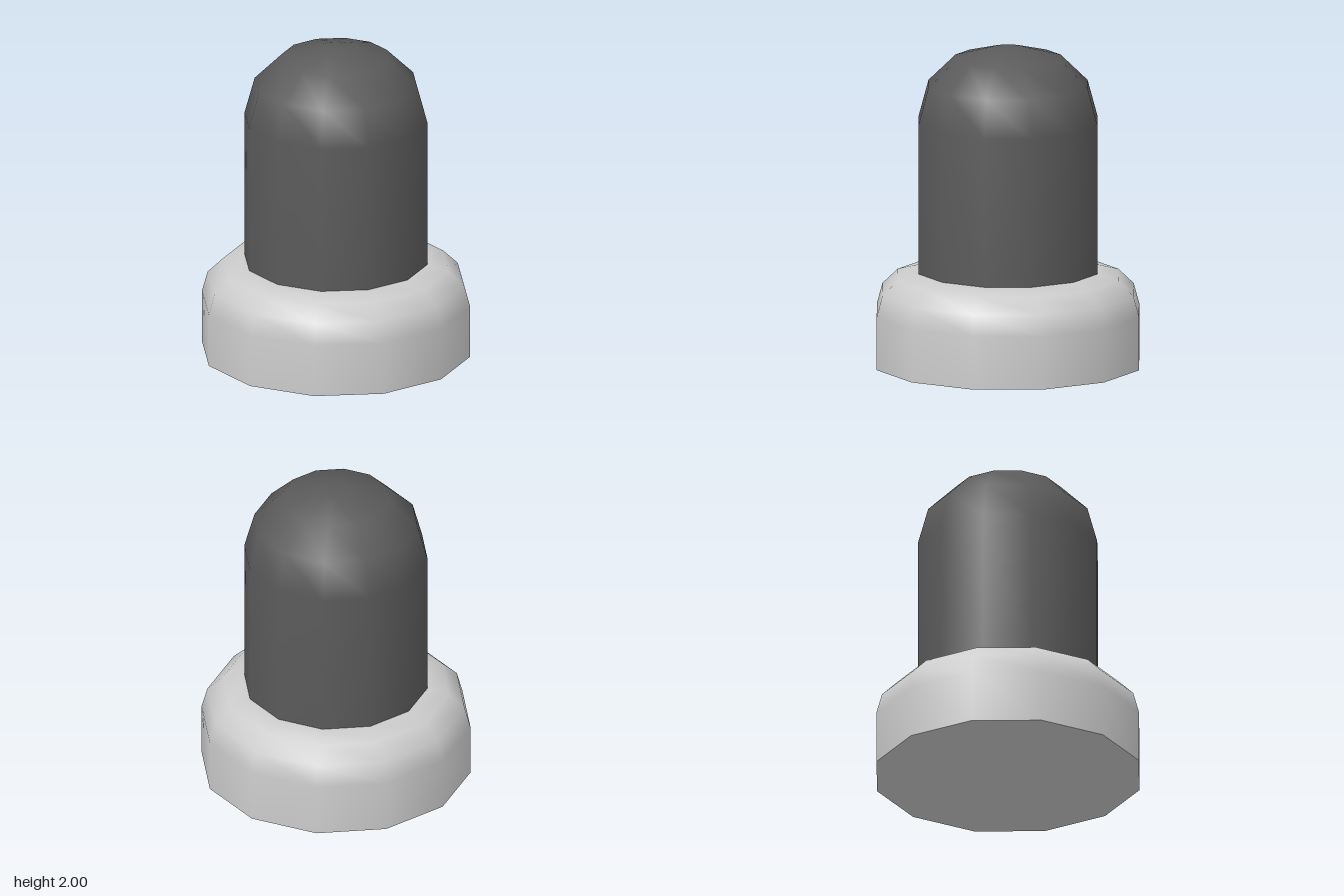
import * as THREE from 'three';

const SIDES = 12;

// Twelve-sided upright cylinder whose top edge is rounded by a quarter ellipse
function roundedDrum(name, radius, bottom, top, roundX, roundY, color) {
  const profile = [new THREE.Vector2(radius, bottom)];
  for (let i = 0; i <= 3; i++) {
    const a = (i / 3) * Math.PI / 2;
    profile.push(new THREE.Vector2(
      radius - roundX + roundX * Math.cos(a),
      top - roundY + roundY * Math.sin(a)
    ));
  }
  profile.push(new THREE.Vector2(0, top));

  const material = new THREE.MeshStandardMaterial({ color });
  const group = new THREE.Group();
  group.name = name;

  const shell = new THREE.Mesh(new THREE.LatheGeometry(profile, SIDES), material);
  shell.name = name + 'Shell';

  // Flat underside with its own normals keeps the lower rim sharp
  const underside = new THREE.Mesh(new THREE.CircleGeometry(radius, SIDES), material);
  underside.name = name + 'Underside';
  underside.rotation.x = Math.PI / 2;
  underside.position.y = bottom;

  group.add(shell, underside);
  return group;
}

export function createModel() {
  const model = new THREE.Group();
  model.name = 'domedButton';
  // Wide collar at the bottom
  model.add(roundedDrum('base', 0.843, 0, 0.595, 0.268, 0.26, 0xcccccc));
  // Dark domed post standing on the collar
  model.add(roundedDrum('post', 0.575, 0.595, 2, 0.475, 0.465, 0x5a5a5a));
  return model;
}
